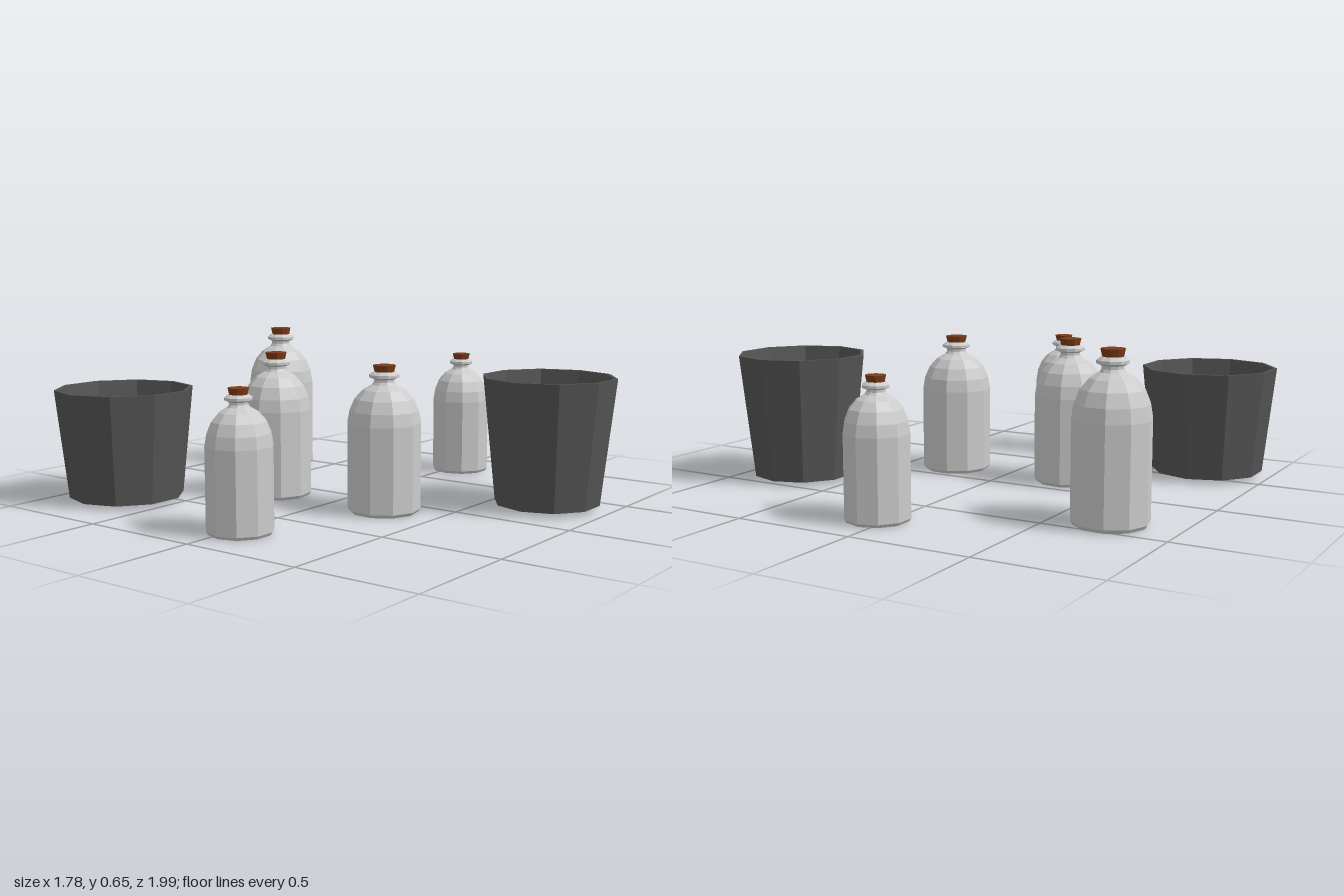
import * as THREE from 'three';

const SIDES = 10;
const glass = new THREE.MeshStandardMaterial({ color: 0xcccccc, flatShading: true });
const cork = new THREE.MeshStandardMaterial({ color: 0x7d3c1a, flatShading: true });
const darkMetal = new THREE.MeshStandardMaterial({ color: 0x555555, flatShading: true });

// Faceted turned part; profile runs [radius, y] with corners on the x axis
function turned(name, profile, material) {
  const points = profile.map(([r, y]) => new THREE.Vector2(r, y));
  const mesh = new THREE.Mesh(new THREE.LatheGeometry(points, SIDES, Math.PI / SIDES), material);
  mesh.name = name;
  return mesh;
}

// Bottle of unit radius and height, scaled to size
function bottle(name, x, z, radius, height, turn) {
  const group = new THREE.Group();
  group.name = name;
  group.add(turned('bottleBody', [
    [0, 0.005], [0.93, 0.005], [1, 0.028],       // base with bevel
    [1, 0.61], [0.94, 0.695], [0.8, 0.775], [0.58, 0.835], // shoulder
    [0.33, 0.87], [0.28, 0.888], [0.28, 0.905],  // neck
    [0.41, 0.918], [0.41, 0.936], [0.3, 0.955], [0, 0.955], // lip
  ], glass));
  group.add(turned('cork', [[0, 0.93], [0.24, 0.93], [0.31, 1], [0, 1]], cork));
  group.position.set(x, 0, z);
  group.scale.set(radius, height, radius);
  group.rotation.y = THREE.MathUtils.degToRad(turn);
  return group;
}

// Open tapered bucket with a thin wall and inner floor
function bucket(name, x, z, bottomRadius, topRadius, topY) {
  const wall = 0.013, y0 = 0.02;
  const mesh = turned(name, [
    [0, y0], [bottomRadius, y0], [topRadius, topY],
    [topRadius - wall, topY], [bottomRadius - wall + 0.003, y0 + 0.02], [0, y0 + 0.02],
  ], darkMetal);
  mesh.position.set(x, 0, z);
  return mesh;
}

export function createModel() {
  const model = new THREE.Group();
  model.name = 'bottlesAndBuckets';

  // Matching small bottles at either side
  for (const [side, x] of [['right', -0.763], ['left', 0.757]]) {
    model.add(bottle(side + 'SmallBottle', x, 0.043, 0.129, 0.545, 0));
  }

  // Larger bottles
  model.add(bottle('frontMediumBottle', -0.155, 0.26, 0.146, 0.588, 50));
  model.add(bottle('backMediumBottle', -0.17, -0.285, 0.146, 0.606, -25));
  model.add(bottle('tallBottle', 0.385, -0.73, 0.149, 0.65, 15));

  // Buckets
  model.add(bucket('wideBucket', -0.609, -0.731, 0.235, 0.283, 0.467));
  model.add(bucket('tallBucket', 0.309, 0.738, 0.214, 0.27, 0.533));
  return model;
}
